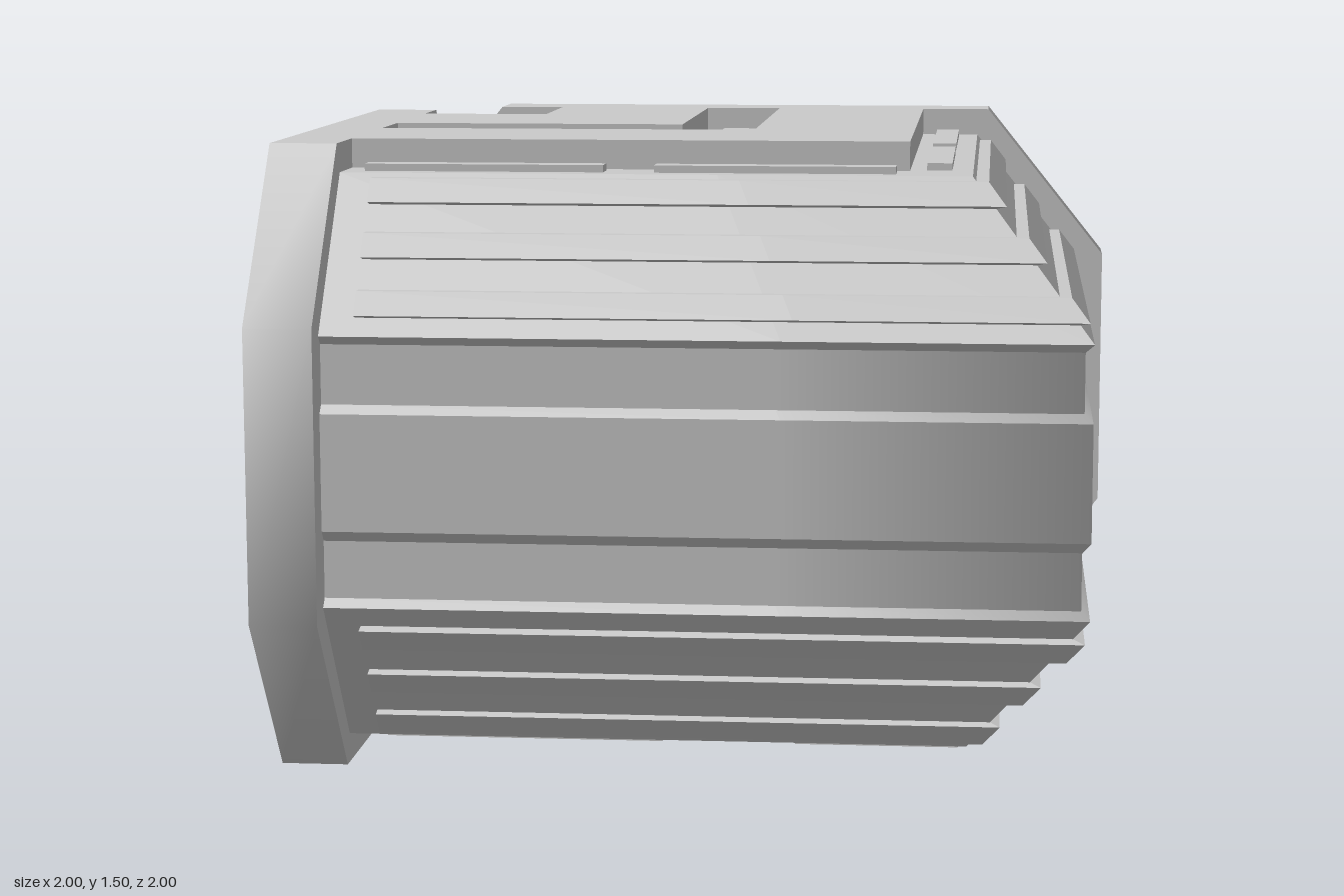
import * as THREE from 'three';
import { toCreasedNormals } from 'three/addons/utils/BufferGeometryUtils.js';

const END = -0.84; // where the shell meets the two opening frames
const material = new THREE.MeshStandardMaterial({ color: 0xcccccc, side: THREE.DoubleSide });

// Sweeps a profile of [offset, y] points along an L with a mitred corner:
// one leg runs along x at z = offset, the other along z at x = offset.
function sweepL(profile, start, capped = false) {
  const pos = [], nor = [];
  const put = (p, n) => { pos.push(...p); nor.push(...n); };
  const quad = (p, n) => [0, 1, 2, 0, 2, 3].forEach(i => put(p[i], n[i]));
  const swap = ([x, y, z]) => [z, y, x];
  for (let i = 0; i < profile.length - 1; i++) {
    const [d1, y1] = profile[i], [d2, y2] = profile[i + 1];
    const len = Math.hypot(d2 - d1, y2 - y1);
    if (len < 1e-6) continue;
    const nd = (y1 - y2) / len, ny = (d2 - d1) / len;
    const flat = [0, ny, nd];
    // upright side walls blend softly round the corner
    const soft = !capped && nd > 0.6 && y1 < 1.08 && y2 > 0.43;
    const k = nd / Math.SQRT2;
    const at = (d, y, t) => [start + (d - start) * t, y, d];
    for (const [t0, t1] of [[0, 0.6], [0.6, 1]]) {
      const n1 = soft && t1 === 1 ? [k, ny, k] : flat;
      const p = [at(d1, y1, t0), at(d2, y2, t0), at(d2, y2, t1), at(d1, y1, t1)];
      const n = [flat, flat, n1, n1];
      quad(p, n);
      quad(p.map(swap).reverse(), n.map(swap).reverse());
    }
  }
  // flat ends of a closed profile
  if (capped) for (let i = 1; i < profile.length - 2; i++) {
    const tri = [profile[0], profile[i + 1], profile[i]].map(([d, y]) => [start, y, d]);
    tri.forEach(p => put(p, [-1, 0, 0]));
    tri.reverse().forEach(p => put(swap(p), [0, 0, -1]));
  }
  const g = new THREE.BufferGeometry();
  g.setAttribute('position', new THREE.Float32BufferAttribute(pos, 3));
  g.setAttribute('normal', new THREE.Float32BufferAttribute(nor, 3));
  return g;
}

// Octagonal opening outline, inset by i
function octagon(i, Type) {
  const w = 1 - i, c = 0.68 - 0.48 * i, b = 0.41 + 0.35 * i, t = 1.1 - 0.35 * i;
  return new Type([[c, i], [w, b], [w, t], [c, 1.5 - i], [-c, 1.5 - i], [-w, t], [-w, b], [-c, i]]
    .map(p => new THREE.Vector2(...p)));
}

function ring(outer, inner, z, depth) {
  const shape = octagon(outer, THREE.Shape);
  shape.holes.push(octagon(inner, THREE.Path));
  const g = new THREE.ExtrudeGeometry(shape, { depth, bevelEnabled: false });
  g.translate(0, 0, z);
  return toCreasedNormals(g, 0.8);
}

export function createModel() {
  const model = new THREE.Group();
  const add = (name, geometry, parent = model) => {
    const mesh = new THREE.Mesh(geometry, material);
    mesh.name = name;
    parent.add(mesh);
    return mesh;
  };

  // Thin shell: inner slope, stepped roof, outer wall, floor, inner slope
  add('shell', sweepL([
    [END, 1.186], [-0.65, 1.43],
    [-0.51, 1.43], [-0.51, 1.5], [-0.1, 1.5], [-0.1, 1.43],
    [0.1, 1.43], [0.1, 1.5], [0.5, 1.5], [0.5, 1.43], [0.65, 1.43],
    [0.93, 1.075], [0.91, 1.055], [0.91, 0.915], [0.93, 0.895],
    [0.93, 0.62], [0.91, 0.595], [0.91, 0.46], [0.93, 0.44],
    [0.65, 0.07], [-0.65, 0.07], [END, 0.32],
  ], END));

  // Raised slats on the slopes, mirrored to the lower and inner sides
  const slats = new THREE.Group();
  slats.name = 'slats';
  model.add(slats);
  const base = y => 0.65 + (1.43 - y) * 0.778;
  const flipY = p => p.map(([d, y]) => [d, 1.505 - y]).reverse();
  const flipD = p => p.map(([d, y]) => [-d, y]).reverse();
  [[1.42, 1.355], [1.3, 1.235], [1.175, 1.11]].forEach(([top, low], i) => {
    const p = [[base(top) - 0.025, top], [base(top) + 0.03, top],
      [base(low + 0.012) + 0.03, low + 0.012], [base(low) - 0.02, low], [base(top) - 0.025, top]];
    add('upperSlat', sweepL(p, -0.76, true), slats);
    add('lowerSlat', sweepL(flipY(p), -0.76, true), slats);
    if (i === 0) {
      add('innerUpperSlat', sweepL(flipD(p), -0.76, true), slats);
      add('innerLowerSlat', sweepL(flipD(flipY(p)), -0.76, true), slats);
    }
  });

  // Low panels, each with its twin across the diagonal
  const panels = (name, y0, y1, list) => {
    const group = new THREE.Group();
    group.name = name;
    model.add(group);
    for (const [a, b, s, e] of list) {
      const l = e - s, w = b - a, h = y1 - y0;
      add('panel', new THREE.BoxGeometry(l, h, w), group)
        .position.set((s + e) / 2, (y0 + y1) / 2, (a + b) / 2);
      add('panel', new THREE.BoxGeometry(w, h, l), group)
        .position.set((a + b) / 2, (y0 + y1) / 2, (s + e) / 2);
    }
  };
  panels('roofPanels', 1.42, 1.447, [
    [0.54, 0.6, -0.79, -0.22], [0.54, 0.6, -0.1, 0.47],
    [-0.05, 0.04, -0.79, -0.22], [-0.05, 0.04, -0.1, 0.04],
    [-0.61, -0.56, -0.79, -0.56],
  ]);
  panels('floorPanels', 0.062, 0.077, [
    [0.54, 0.63, -0.75, -0.08], [0.54, 0.63, 0.24, 0.63],
    [-0.62, -0.54, -0.79, -0.54],
  ]);

  // Octagonal frames round the back and side openings
  for (const [name, turn] of [['backFrame', 0], ['sideFrame', Math.PI / 2]]) {
    const frame = new THREE.Group();
    frame.name = name;
    frame.rotation.y = turn;
    add('frameRing', ring(0, 0.13, -1, 0.16), frame);
    add('innerTrim', ring(0.12, 0.155, -0.9, 0.06), frame);
    model.add(frame);
  }
  return model;
}
